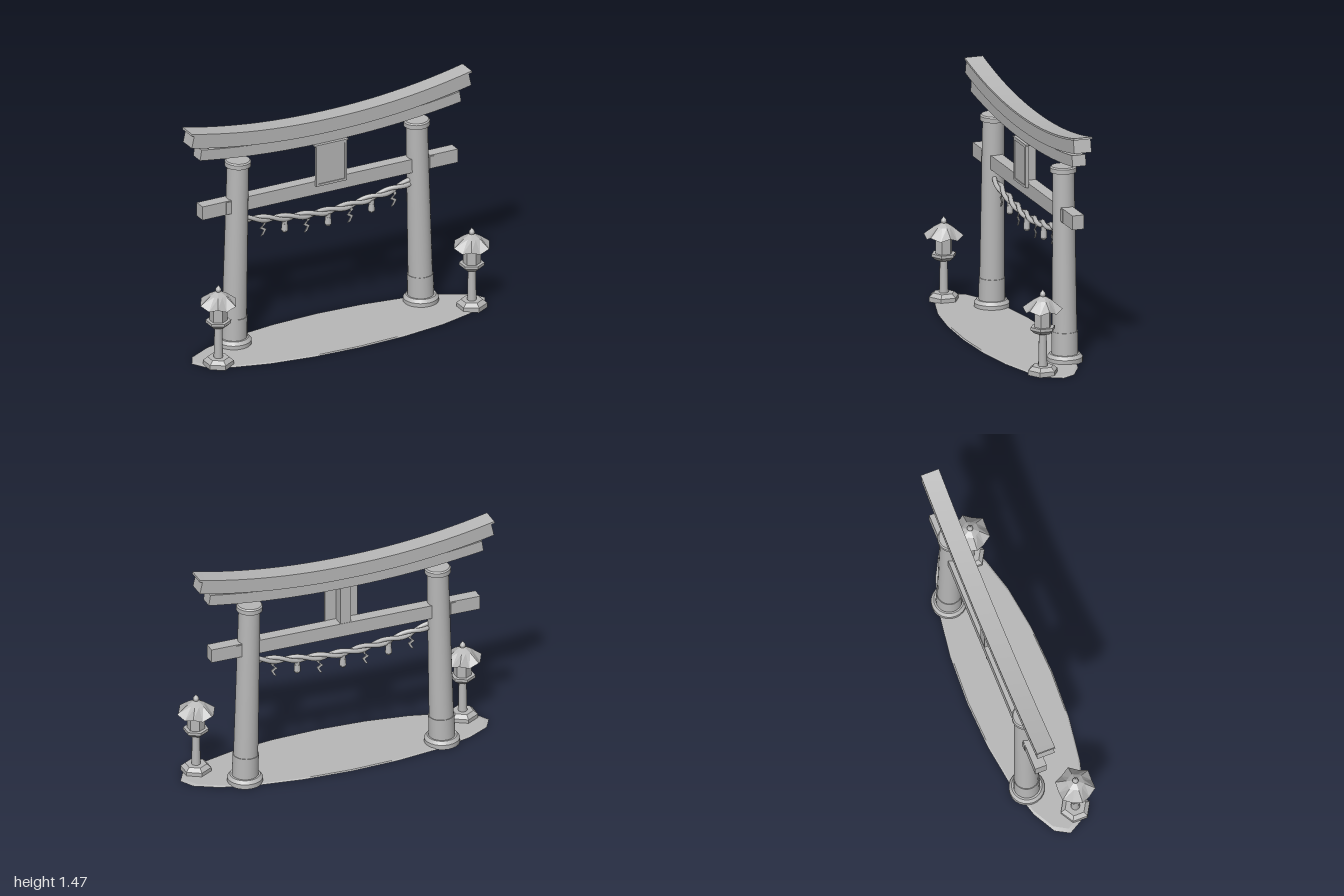
import * as THREE from 'three';

const stone = new THREE.MeshStandardMaterial({ color: 0xb8b8b8, side: THREE.DoubleSide });
stone.name = 'grey stone';
const GATE_Z = -0.14;

export function createModel() {
  const root = new THREE.Group();
  root.name = 'shrineGate';

  const add = (parent, name, geo, x = 0, y = 0, z = 0) => {
    const mesh = new THREE.Mesh(geo, stone);
    mesh.name = name;
    mesh.position.set(x, y, z);
    parent.add(mesh);
    return mesh;
  };
  const box = (parent, name, w, h, d, x, y, z) =>
    add(parent, name, new THREE.BoxGeometry(w, h, d), x, y, z);
  // Cylinder placed by its bottom and top heights
  const drum = (parent, name, rTop, rBottom, y0, y1, sides = 24) => {
    let geo = new THREE.CylinderGeometry(rTop, rBottom, y1 - y0, sides);
    if (sides < 12) {
      geo = geo.toNonIndexed();
      geo.computeVertexNormals();
    }
    return add(parent, name, geo, 0, (y0 + y1) / 2, 0);
  };

  // Ground: a thin, very low oval mound
  const ground = add(root, 'ground', new THREE.CylinderGeometry(0.97, 1, 0.006, 20), 0, 0.003, 0);
  ground.scale.z = 0.275;

  // Pillars, leaning slightly inwards
  for (const side of [-1, 1]) {
    const pillar = new THREE.Group();
    pillar.name = side < 0 ? 'rightPillar' : 'leftPillar';
    pillar.position.set(side * 0.638, 0, GATE_Z);
    root.add(pillar);
    drum(pillar, 'pillarFoot', 0.108, 0.108, 0, 0.03);
    drum(pillar, 'pillarFootBevel', 0.092, 0.108, 0.03, 0.05);
    const shaft = new THREE.Group();
    shaft.name = 'leaningShaft';
    shaft.rotation.z = side * 0.024;
    pillar.add(shaft);
    drum(shaft, 'pillarSleeve', 0.079, 0.081, 0.04, 0.187);
    drum(shaft, 'pillarShaft', 0.066, 0.075, 0.18, 1.18);
    drum(shaft, 'pillarCap', 0.08, 0.08, 1.172, 1.2);
    drum(shaft, 'pillarCapBevel', 0.072, 0.08, 1.2, 1.208);
    box(root, 'wedge', 0.032, 0.076, 0.084, side * 0.694, 0.922, GATE_Z);
  }

  // Straight tie beam
  box(root, 'tieBeam', 1.74, 0.088, 0.074, 0, 0.922, GATE_Z);

  // Upswept beams: bend a box along a rising curve, ends square to it
  const curvedBeam = (name, halfLength, height, depth, yMid, rise, offset = 0) => {
    const geo = new THREE.BoxGeometry(halfLength * 2, height, depth, 24, 1, 1);
    const p = geo.attributes.position;
    for (let i = 0; i < p.count; i++) {
      const x = p.getX(i);
      const y = p.getY(i) + offset;
      const t = Math.abs(x) / 0.95;
      const slope = Math.sign(x) * rise * 2.1 * Math.pow(t, 1.1) / 0.95;
      p.setXY(i, x - slope * y, yMid + rise * Math.pow(t, 2.1) + y);
    }
    geo.computeVertexNormals();
    add(root, name, geo, 0, 0, GATE_Z);
  };
  curvedBeam('topBeam', 0.944, 0.082, 0.11, 1.321, 0.098);
  curvedBeam('topBeamLid', 0.965, 0.012, 0.117, 1.321, 0.098, 0.044);
  curvedBeam('lowerBeam', 0.885, 0.068, 0.086, 1.246, 0.076);

  // Centre strut and framed tablet
  box(root, 'strut', 0.07, 0.26, 0.07, 0, 1.09, GATE_Z);
  box(root, 'tablet', 0.19, 0.25, 0.014, 0, 1.072, -0.096);
  for (const s of [-1, 1]) {
    box(root, 'tabletFrameSide', 0.014, 0.26, 0.022, s * 0.097, 1.07, -0.094);
    box(root, 'tabletFrameRail', 0.208, 0.014, 0.022, 0, 1.07 + s * 0.125, -0.094);
  }
  box(root, 'tabletTopTrim', 0.228, 0.008, 0.03, 0, 1.205, -0.097);

  // Twisted rope of two strands
  const ropeY = x => 0.738 + 0.072 * Math.pow(Math.abs(x) / 0.56, 1.8);
  for (const phase of [0, Math.PI]) {
    const points = [];
    for (let i = 0; i <= 72; i++) {
      const x = -0.565 + 1.13 * i / 72;
      const a = phase + (i / 72) * Math.PI * 8;
      points.push(new THREE.Vector3(x, ropeY(x) + 0.013 * Math.cos(a), 0.013 * Math.sin(a)));
    }
    const path = new THREE.CatmullRomCurve3(points);
    add(root, 'ropeStrand', new THREE.TubeGeometry(path, 120, 0.0145, 8), 0, 0, -0.13);
  }

  // Zigzag paper streamers and tassels, alternating along the rope
  const zigzag = [[0, 0], [0.014, -0.026], [-0.012, -0.05], [0.014, -0.066], [-0.006, -0.102]];
  const outline = [
    ...zigzag.map(([x, y]) => new THREE.Vector2(x - 0.009, y)),
    ...zigzag.slice().reverse().map(([x, y]) => new THREE.Vector2(x + 0.009, y + 0.006)),
  ];
  const streamer = new THREE.ExtrudeGeometry(new THREE.Shape(outline), { depth: 0.006, bevelEnabled: false });
  for (let i = 0; i < 7; i++) {
    const x = (i - 3) * 0.148;
    const y = ropeY(x) - 0.012;
    if (i % 2 === 0) {
      add(root, 'paperStreamer', streamer, x, y, -0.133);
    } else {
      const tassel = new THREE.Group();
      tassel.name = 'tassel';
      tassel.position.set(x, y, -0.13);
      root.add(tassel);
      drum(tassel, 'tasselNeck', 0.017, 0.017, -0.03, 0, 12);
      drum(tassel, 'tasselBody', 0.018, 0.021, -0.07, -0.026, 12);
      drum(tassel, 'tasselEnd', 0.021, 0.014, -0.082, -0.07, 12);
    }
  }

  // Lantern roof: six upturned corners with lower edges between them
  const roofGeometry = () => {
    const rings = [[0, 0], [0.056, 0.462], [0.016, 0.484]];
    const point = (ring, j) => {
      const a = j * Math.PI / 6;
      const corner = j % 2 === 1;
      let [r, y] = rings[ring];
      if (ring === 0) [r, y] = corner ? [0.122, 0.412] : [0.107, 0.388];
      else if (!corner) r *= 0.88;
      return [r * Math.sin(a), y, r * Math.cos(a)];
    };
    const v = [];
    for (let k = 0; k < 2; k++) {
      for (let j = 0; j < 12; j++) {
        const a = point(k, j), b = point(k, j + 1), c = point(k + 1, j + 1), d = point(k + 1, j);
        v.push(...a, ...b, ...c, ...a, ...c, ...d);
      }
    }
    const geo = new THREE.BufferGeometry();
    geo.setAttribute('position', new THREE.Float32BufferAttribute(v, 3));
    geo.computeVertexNormals();
    return geo;
  };

  // Stone lanterns in front of the pillars
  for (const side of [-1, 1]) {
    const lantern = new THREE.Group();
    lantern.name = side < 0 ? 'rightLantern' : 'leftLantern';
    lantern.position.set(side * 0.864, 0, 0.084);
    root.add(lantern);
    drum(lantern, 'lanternBase', 0.093, 0.093, 0, 0.03, 6);
    drum(lantern, 'lanternBaseBevel', 0.066, 0.093, 0.03, 0.052, 6);
    drum(lantern, 'lanternPost', 0.023, 0.028, 0.05, 0.262, 12);
    drum(lantern, 'platformFlare', 0.077, 0.05, 0.255, 0.278, 6);
    drum(lantern, 'platform', 0.077, 0.077, 0.278, 0.296, 6);
    drum(lantern, 'lightBox', 0.054, 0.054, 0.296, 0.402, 6);
    add(lantern, 'lanternRoof', roofGeometry());
    const finial = [[0.012, 0.478], [0.019, 0.492], [0.017, 0.503], [0.007, 0.516], [0, 0.526]];
    add(lantern, 'finial', new THREE.LatheGeometry(finial.map(([r, y]) => new THREE.Vector2(r, y)), 12));
  }
  return root;
}
